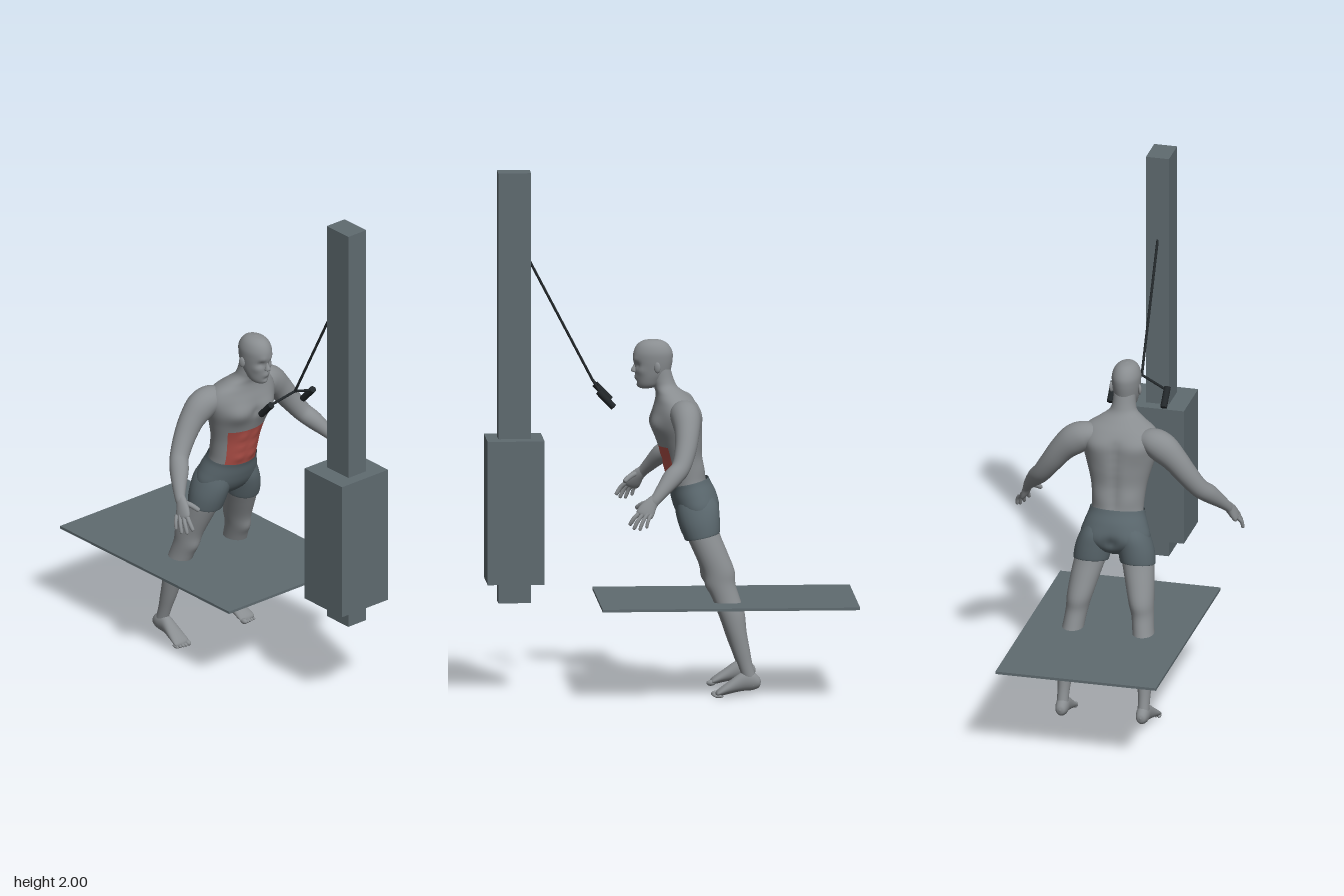
import * as THREE from 'three';

const material = (name, color, side = THREE.FrontSide) => {
  const m = new THREE.MeshStandardMaterial({ color, side });
  m.name = name;
  return m;
};
const V = (x, y, z) => new THREE.Vector3(x, y, z);

// Smooth skin through cross-sections [x, y, z, halfWidth, halfDepth].
// axis: fixed ring direction (otherwise the path tangent); bumps: [x, y, z, size, amount], mirrored in x;
// pick(x, y, sin): material number of a face.
function loft(sections, { seg = 24, rows = 32, axis = null, ref = V(0, 0, 1), bumps = [], pick = () => 0 } = {}) {
  const path = new THREE.CatmullRomCurve3(sections.map(s => V(s[0], s[1], s[2])), false, 'catmullrom');
  const size = new THREE.CatmullRomCurve3(sections.map(s => V(s[3], s[4], 0)), false, 'catmullrom');
  const pos = [], lists = [[], []];
  for (let i = 0; i <= rows; i++) {
    const c = path.getPoint(i / rows), r = size.getPoint(i / rows);
    const t = axis ? axis.clone().normalize() : path.getTangent(i / rows);
    const w = ref.clone().addScaledVector(t, -ref.dot(t)).normalize();
    const u = t.clone().cross(w);
    for (let j = 0; j < seg; j++) {
      const a = j / seg * Math.PI * 2;
      const d = u.clone().multiplyScalar(r.x * Math.cos(a)).addScaledVector(w, r.y * Math.sin(a));
      const p = c.clone().add(d), n = d.clone().normalize();
      let push = 0;
      for (const [bx, by, bz, s, amt] of bumps) {
        const q = (Math.abs(p.x) - bx) ** 2 + (p.y - by) ** 2 + (p.z - bz) ** 2;
        push += amt * Math.exp(-q / (s * s));
      }
      p.addScaledVector(n, push);
      pos.push(p.x, p.y, p.z);
    }
  }
  for (let i = 0; i < rows; i++) for (let j = 0; j < seg; j++) {
    const k = (j + 1) % seg, a = i * seg + j, b = a + seg, c = i * seg + k, d = c + seg;
    const m = pick(pos[a * 3], pos[a * 3 + 1], Math.sin((j + 0.5) / seg * Math.PI * 2));
    lists[m].push(a, b, c, c, b, d);
  }
  const g = new THREE.BufferGeometry();
  g.setAttribute('position', new THREE.Float32BufferAttribute(pos, 3));
  g.setIndex([...lists[0], ...lists[1]]);
  g.addGroup(0, lists[0].length, 0);
  if (lists[1].length) g.addGroup(lists[0].length, lists[1].length, 1);
  g.computeVertexNormals();
  return g;
}

export function createModel() {
  const model = new THREE.Group();
  model.name = 'cableTrainer';
  const steel = material('slate steel', 0x5f6b70);
  const skin = material('grey skin', 0x898d90);
  const cloth = material('slate cloth', 0x59666c, THREE.DoubleSide);
  const red = material('red muscle', 0xb5524a);
  const black = material('black rubber', 0x22272a);
  const UP = V(0, 1, 0);

  const add = (name, geo, mat, parent = model) => {
    const m = new THREE.Mesh(geo, mat);
    m.name = name;
    parent.add(m);
    return m;
  };
  const box = (name, w, h, d, x, y, z) => add(name, new THREE.BoxGeometry(w, h, d), steel).position.set(x, y, z);
  const rod = (name, a, b, r, mat, parent) => {
    const m = add(name, new THREE.CylinderGeometry(r, r, a.distanceTo(b), 14), mat, parent);
    m.position.copy(a).lerp(b, 0.5);
    m.quaternion.setFromUnitVectors(UP, b.clone().sub(a).normalize());
  };
  const ball = (name, x, y, z, sx, sy, sz, parent) => {
    const m = add(name, new THREE.SphereGeometry(1, 16, 12), skin, parent);
    m.position.set(x, y, z);
    m.scale.set(sx, sy, sz);
    return m;
  };

  // Machine and floor plate
  box('column', 0.09, 1.65, 0.125, 0, 1.175, 0.598);
  box('weightHousing', 0.232, 0.55, 0.217, 0, 0.705, 0.597);
  box('floorPlate', 0.63, 0.01, 0.98, 0, 0.355, -0.21);

  // Cable with two grips
  const fork = V(0, 1.2, 0.3);
  rod('mainCable', V(0, 1.66, 0.54), fork, 0.005, black);
  for (const s of [1, -1]) {
    rod('cableBranch', fork, V(s * 0.105, 1.16, 0.272), 0.005, black);
    rod('grip', V(s * 0.105, 1.168, 0.283), V(s * 0.105, 1.108, 0.225), 0.013, black);
  }

  const body = new THREE.Group();
  body.name = 'athlete';
  model.add(body);

  // Torso and neck, with the abdominal muscles in red
  const torso = [
    [0, 0.75, -0.08, 0.1, 0.076], [0, 0.79, -0.067, 0.1, 0.075], [0, 0.83, -0.056, 0.1, 0.075],
    [0, 0.9, -0.043, 0.108, 0.077], [0, 0.97, -0.031, 0.126, 0.089], [0, 1.03, -0.02, 0.145, 0.096],
    [0, 1.08, -0.02, 0.155, 0.09], [0, 1.12, -0.012, 0.135, 0.073], [0, 1.148, 0.003, 0.092, 0.056],
    [0, 1.172, 0.021, 0.056, 0.045], [0, 1.2, 0.033, 0.045, 0.043], [0, 1.25, 0.045, 0.042, 0.04],
  ];
  const bumps = [
    [0.065, 1.03, 0.06, 0.045, 0.014], [0, 1.03, 0.08, 0.02, -0.008],
    [0.075, 1.06, -0.1, 0.05, 0.01], [0.05, 0.86, -0.11, 0.04, 0.006],
  ];
  for (let y = 0.8; y < 1.1; y += 0.035) bumps.push([0, y, -0.12, 0.022, -0.007]);
  for (const y of [0.82, 0.865, 0.91]) bumps.push([0.03, y, 0.02 + (y - 0.82) * 0.25, 0.02, 0.006]);
  add('torso', loft(torso, {
    seg: 56, rows: 66, axis: UP, bumps,
    pick: (x, y, s) => (y > 0.77 && y < 0.945 && s > 0.58 ? 1 : 0),
  }), [skin, red], body);

  // Head
  add('head', loft([
    [0, 1.164, 0.1, 0.002, 0.002], [0, 1.168, 0.093, 0.022, 0.026], [0, 1.182, 0.08, 0.036, 0.048],
    [0, 1.208, 0.071, 0.045, 0.063], [0, 1.24, 0.069, 0.05, 0.069], [0, 1.275, 0.069, 0.054, 0.075],
    [0, 1.305, 0.069, 0.054, 0.074], [0, 1.332, 0.07, 0.044, 0.06], [0, 1.348, 0.07, 0.026, 0.037],
    [0, 1.354, 0.07, 0.001, 0.001],
  ], {
    seg: 40, rows: 54, axis: UP, bumps: [
      [0.022, 1.257, 0.133, 0.014, -0.01], [0.02, 1.275, 0.14, 0.014, 0.004],
      [0, 1.205, 0.136, 0.013, 0.006], [0, 1.192, 0.13, 0.009, -0.004], [0, 1.176, 0.125, 0.014, 0.005],
      [0.034, 1.235, 0.115, 0.016, 0.004], [0.035, 1.19, 0.04, 0.03, -0.006],
    ],
  }), skin, body);
  add('nose', loft([
    [0, 1.226, 0.136, 0.002, 0.002], [0, 1.23, 0.139, 0.011, 0.012], [0, 1.238, 0.14, 0.01, 0.013],
    [0, 1.252, 0.136, 0.006, 0.009], [0, 1.268, 0.134, 0.004, 0.004],
  ], { seg: 14, rows: 14, axis: UP }), skin, body);

  // Shorts
  const lean = V(0, 1, 0.22);
  add('shortsSeat', loft([
    [0, 0.635, -0.115, 0.01, 0.01], [0, 0.65, -0.113, 0.07, 0.045], [0, 0.68, -0.106, 0.128, 0.07],
    [0, 0.715, -0.097, 0.135, 0.083], [0, 0.755, -0.085, 0.123, 0.085], [0, 0.79, -0.072, 0.11, 0.08],
    [0, 0.808, -0.065, 0.106, 0.079],
  ], {
    seg: 44, rows: 34, axis: lean,
    bumps: [[0, 0.7, -0.18, 0.022, -0.012], [0.06, 0.7, -0.17, 0.045, 0.01]],
  }), cloth, body);

  for (const s of [1, -1]) {
    const side = s > 0 ? 'left' : 'right';
    const mir = list => list.map(([x, ...rest]) => [s * x, ...rest]);
    const limb = (name, list, opt, mat = skin) => add(side + name, loft(mir(list), opt), mat, body);

    limb('ShortsLeg', [
      [0.091, 0.608, -0.113, 0.063, 0.064], [0.091, 0.612, -0.113, 0.068, 0.069],
      [0.083, 0.66, -0.105, 0.07, 0.077], [0.07, 0.71, -0.097, 0.066, 0.079], [0.055, 0.76, -0.085, 0.055, 0.065],
    ], { rows: 20, axis: lean }, cloth);

    // Leg from ankle to thigh
    limb('Leg', [
      [0.159, 0.045, -0.297, 0.022, 0.026], [0.158, 0.12, -0.273, 0.023, 0.028], [0.155, 0.18, -0.256, 0.029, 0.034],
      [0.15, 0.25, -0.238, 0.037, 0.04], [0.143, 0.32, -0.221, 0.042, 0.05], [0.135, 0.38, -0.199, 0.041, 0.053],
      [0.128, 0.43, -0.181, 0.043, 0.056], [0.12, 0.48, -0.172, 0.049, 0.062], [0.107, 0.55, -0.143, 0.056, 0.064],
      [0.092, 0.62, -0.114, 0.061, 0.065], [0.08, 0.68, -0.1, 0.06, 0.065],
    ], { rows: 44, axis: UP, bumps: [[0.13, 0.42, -0.125, 0.025, 0.006]] });

    // Foot on its toes
    limb('Foot', [
      [0.158, 0.058, -0.332, 0.002, 0.002], [0.158, 0.056, -0.325, 0.017, 0.02], [0.158, 0.06, -0.3, 0.025, 0.035],
      [0.159, 0.058, -0.26, 0.026, 0.036], [0.162, 0.036, -0.21, 0.032, 0.024],
      [0.164, 0.021, -0.178, 0.035, 0.016], [0.165, 0.014, -0.163, 0.031, 0.01], [0.165, 0.012, -0.158, 0.002, 0.002],
    ], { rows: 28, axis: V(0, 0, 1), ref: UP });
    for (let i = 0; i < 5; i++) {
      const r = i ? 0.008 - i * 0.0005 : 0.011;
      ball(side + 'Toe', s * (0.142 + i * 0.0125), r, -0.16 - i * 0.0025, r, r, 0.017, body);
    }

    // Arm from shoulder to wrist
    limb('Arm', [
      [0.08, 1.09, -0.04, 0.03, 0.035], [0.13, 1.085, -0.042, 0.052, 0.055], [0.175, 1.062, -0.047, 0.059, 0.055],
      [0.22, 1.02, -0.047, 0.05, 0.047], [0.265, 0.96, -0.038, 0.043, 0.041], [0.308, 0.9, -0.017, 0.037, 0.036],
      [0.337, 0.866, 0.017, 0.035, 0.037], [0.368, 0.826, 0.053, 0.026, 0.028],
      [0.39, 0.793, 0.082, 0.018, 0.021], [0.397, 0.775, 0.097, 0.014, 0.02],
    ], { rows: 44 });

    // Hand with four fingers and a thumb
    limb('Palm', [
      [0.388, 0.797, 0.08, 0.015, 0.02], [0.397, 0.775, 0.102, 0.016, 0.026], [0.408, 0.75, 0.12, 0.015, 0.033],
      [0.416, 0.733, 0.129, 0.011, 0.03], [0.419, 0.727, 0.132, 0.002, 0.006],
    ], { rows: 18 });
    const digit = (name, a, m, b, r) => limb(name, [
      [...a, r, r], [...m, r, r], [...m.map((v, i) => v * 0.15 + b[i] * 0.85), r * 0.85, r * 0.85], [...b, 0.001, 0.001],
    ], { seg: 10, rows: 12 });
    for (let i = 0; i < 4; i++) {
      const tip = [[0.412, 0.697, 0.185], [0.428, 0.683, 0.17], [0.438, 0.68, 0.148], [0.444, 0.69, 0.122]][i];
      const base = [0.408 + i * 0.006, 0.748 - i * 0.003, 0.142 - i * 0.013];
      const mid = base.map((v, k) => (v + tip[k]) / 2 + [0.004, 0.004, 0.002][k]);
      digit('Finger', base, mid, tip, 0.0085 - i * 0.0005);
    }
    digit('Thumb', [0.392, 0.785, 0.105], [0.374, 0.773, 0.133], [0.356, 0.755, 0.157], 0.01);

    // Ear
    ball(side + 'Ear', s * 0.055, 1.25, 0.056, 0.007, 0.021, 0.013, body).rotation.y = s * -0.35;
  }
  return model;
}
